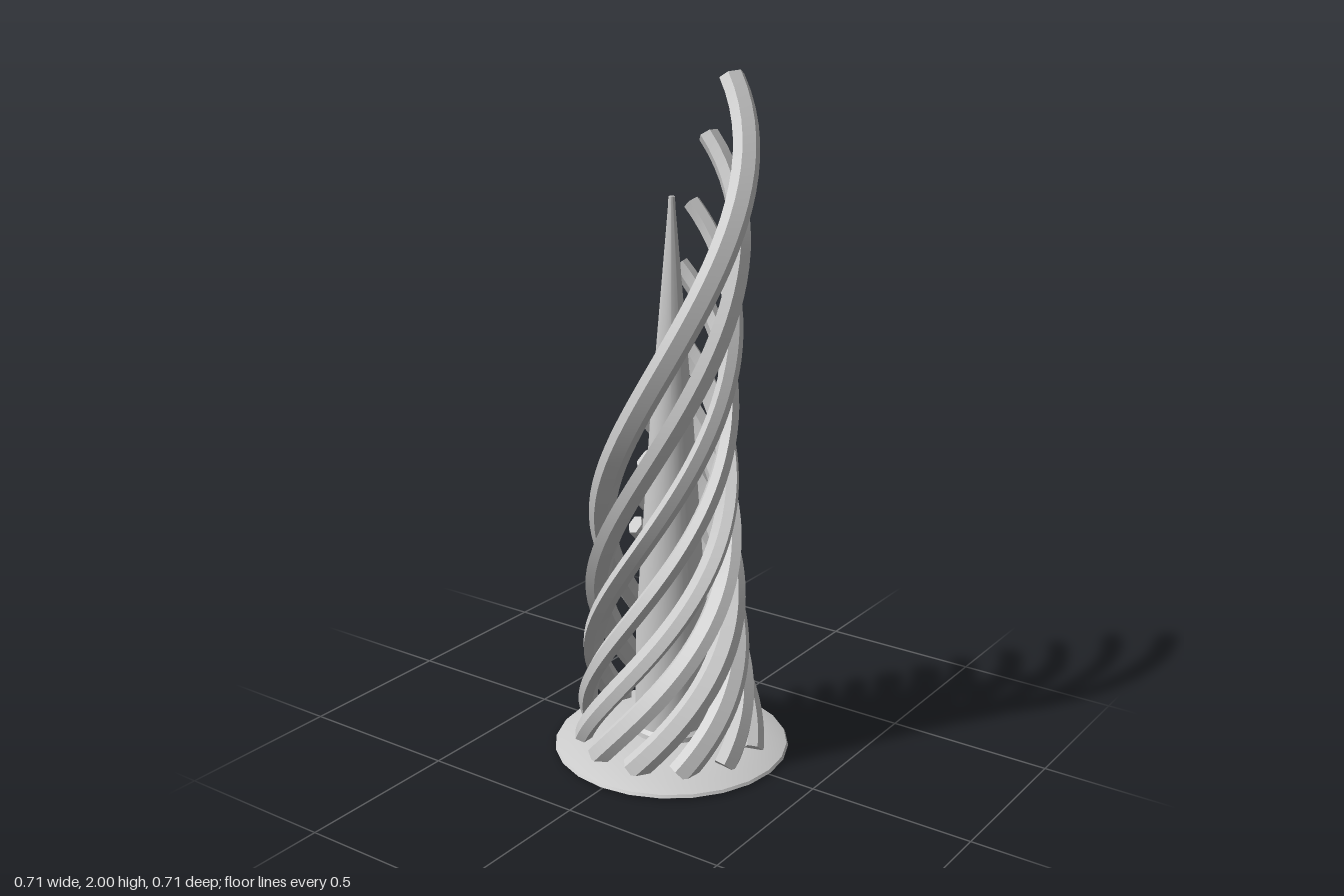
import * as THREE from 'three';
import { toCreasedNormals } from 'three/addons/utils/BufferGeometryUtils.js';

const SIDES = 6, STEPS = 48;

// Centre line of one rod: a rising spiral that narrows, then flares to its end radius
function rodPoint(rod, t) {
  const ease = t - 0.15 * t * (1 - t);
  const angle = THREE.MathUtils.degToRad(rod.start + (rod.end - rod.start) * ease);
  const r = 0.27 - 0.19 * t + (rod.endRadius - 0.08) * Math.pow(t, 4);
  return new THREE.Vector3(r * Math.cos(angle), 0.035 + (rod.top - 0.035) * t, -r * Math.sin(angle));
}

// Flattened six-sided section carried along the spiral without twisting, both ends closed
function rodGeometry(rod) {
  const pos = [], index = [];
  const foot = rodPoint(rod, 0);
  const wide = new THREE.Vector3(foot.z, 0, -foot.x).normalize();
  for (let i = 0; i <= STEPS; i++) {
    const t = i / STEPS;
    const c = rodPoint(rod, t);
    const tangent = rodPoint(rod, t + 0.005).sub(rodPoint(rod, t - 0.005)).normalize();
    wide.addScaledVector(tangent, -wide.dot(tangent)).normalize();
    const thin = new THREE.Vector3().crossVectors(tangent, wide);
    for (let j = 0; j < SIDES; j++) {
      const a = (j / SIDES) * Math.PI * 2;
      const p = c.clone().addScaledVector(wide, 0.04 * Math.cos(a)).addScaledVector(thin, 0.027 * Math.sin(a));
      pos.push(p.x, p.y, p.z);
    }
  }
  for (let i = 0; i < STEPS; i++) {
    for (let j = 0; j < SIDES; j++) {
      const k = (j + 1) % SIDES;
      const a = i * SIDES + j, b = i * SIDES + k;
      index.push(a, b, b + SIDES, a, b + SIDES, a + SIDES);
    }
  }
  const last = STEPS * SIDES;
  for (let j = 1; j < SIDES - 1; j++) {
    index.push(0, j + 1, j, last, last + j, last + j + 1);
  }
  const g = new THREE.BufferGeometry();
  g.setAttribute('position', new THREE.Float32BufferAttribute(pos, 3));
  g.setIndex(index);
  return toCreasedNormals(g, 0.5);
}

function lathe(profile, segments) {
  const g = new THREE.LatheGeometry(profile.map(([x, y]) => new THREE.Vector2(x, y)), segments);
  return toCreasedNormals(g, 0.6);
}

export function createModel() {
  const model = new THREE.Group();
  const material = new THREE.MeshStandardMaterial({ color: 0xcccccc });
  const add = (name, geometry, parent = model) => {
    const mesh = new THREE.Mesh(geometry, material);
    mesh.name = name;
    parent.add(mesh);
  };

  // Low domed foot with a flat underside
  add('base', lathe([
    [0, 0], [0.345, 0], [0.355, 0.006], [0.35, 0.014], [0.31, 0.03], [0.25, 0.045], [0.18, 0.056], [0, 0.064],
  ], 24));

  // Tapering central spire with a small collar at its foot
  add('spire', lathe([
    [0.125, 0.05], [0.122, 0.072], [0.111, 0.082], [0.106, 0.4], [0.06, 1.06], [0.011, 1.64], [0.009, 1.675], [0, 1.675],
  ], 32));

  // Ten spiral rods, each starting 30 degrees further round and ending lower
  const tops = [1.985, 1.815, 1.62, 1.44, 1.27, 1.14, 1.0, 0.87, 0.76, 0.66];
  const ends = [352, 369.5, 380, 389, 400, 410, 418, 424, 430, 436];
  const radii = [0.247, 0.243, 0.223, 0.206, 0.188, 0.178, 0.17, 0.165, 0.166, 0.168];
  const rods = new THREE.Group();
  rods.name = 'spiralRods';
  tops.forEach((top, i) => {
    const rod = { top, start: 10 + 30 * i, end: ends[i], endRadius: radii[i] };
    add('spiralRod' + (i + 1), rodGeometry(rod), rods);
  });
  model.add(rods);
  return model;
}
